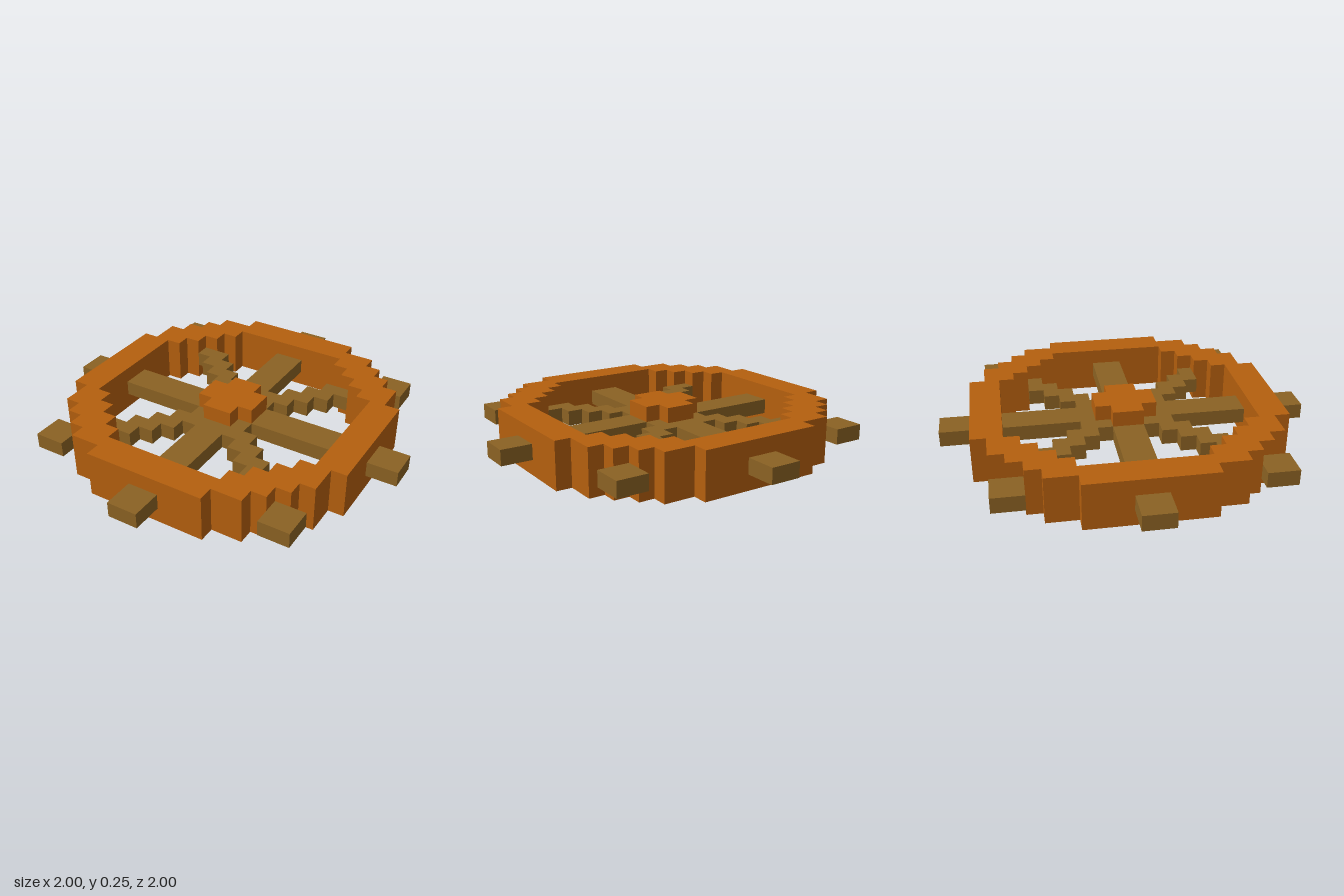
import * as THREE from 'three';

const U = 1 / 12; // one block of the stepped grid

// Mirror one quadrant of a stepped outline into a closed loop
function mirrorLoop(quadrant) {
  const back = [...quadrant].reverse();
  return [
    ...quadrant,
    ...back.map(([x, z]) => [-x, z]),
    ...quadrant.map(([x, z]) => [-x, -z]),
    ...back.map(([x, z]) => [x, -z]),
  ].map(([x, z]) => new THREE.Vector2(x * U, z * U));
}

// Upright slab from a flat outline, between heights y0 and y1 in blocks
function slab(name, outline, hole, y0, y1, material) {
  const shape = new THREE.Shape(outline);
  if (hole) shape.holes.push(new THREE.Path(hole));
  const geometry = new THREE.ExtrudeGeometry(shape, { depth: (y1 - y0) * U, bevelEnabled: false });
  geometry.rotateX(-Math.PI / 2);
  const mesh = new THREE.Mesh(geometry, material);
  mesh.position.y = y0 * U;
  mesh.name = name;
  return mesh;
}

// Bar one block high, at spoke level, given by its extents in blocks
function bar(name, x0, x1, z0, z1, material) {
  const geometry = new THREE.BoxGeometry(Math.abs(x1 - x0) * U, U, Math.abs(z1 - z0) * U);
  const mesh = new THREE.Mesh(geometry, material);
  mesh.position.set((x0 + x1) * U / 2, 1.5 * U, (z0 + z1) * U / 2);
  mesh.name = name;
  return mesh;
}

export function createModel() {
  const model = new THREE.Group();
  model.name = 'shipWheel';
  const orangeWood = new THREE.MeshStandardMaterial({ color: 0xb45f0e });
  orangeWood.name = 'orange wood';
  const brownWood = new THREE.MeshStandardMaterial({ color: 0x8b6223 });
  brownWood.name = 'brown wood';

  // Stepped rim
  const outer = mirrorLoop([[10, 4], [9, 4], [9, 6], [8, 6], [8, 7], [7, 7], [7, 8], [6, 8], [6, 9], [4, 9], [4, 10]]);
  const inner = mirrorLoop([[8, 4], [7, 4], [7, 5], [6, 5], [6, 6], [5, 6], [5, 7], [4, 7], [4, 8]]);
  model.add(slab('rim', outer, inner, 0, 3, orangeWood));

  // Cross-shaped hub cap, sitting on the spokes
  model.add(slab('hub', mirrorLoop([[2, 1], [1, 1], [1, 2]]), null, 2, 3, orangeWood));

  // Straight spokes, running through the rim to form handles
  model.add(bar('sideSpokes', -12, 12, -1, 1, brownWood));
  for (const s of [-1, 1]) {
    model.add(bar(s > 0 ? 'frontSpoke' : 'backSpoke', -1, 1, s, s * 12, brownWood));
  }

  // Stepped diagonal spokes with separate handles outside the rim
  for (const sx of [-1, 1]) {
    for (const sz of [-1, 1]) {
      const spoke = new THREE.Group();
      spoke.name = 'diagonalSpoke';
      for (let z = 1; z < 6; z++) {
        spoke.add(bar('spokeStep', sx * Math.max(1, z - 1), sx * (z + 1), sz * z, sz * (z + 1), brownWood));
      }
      spoke.add(bar('diagonalHandle', sx * 7, sx * 9, sz * 7, sz * 9, brownWood));
      model.add(spoke);
    }
  }
  return model;
}
